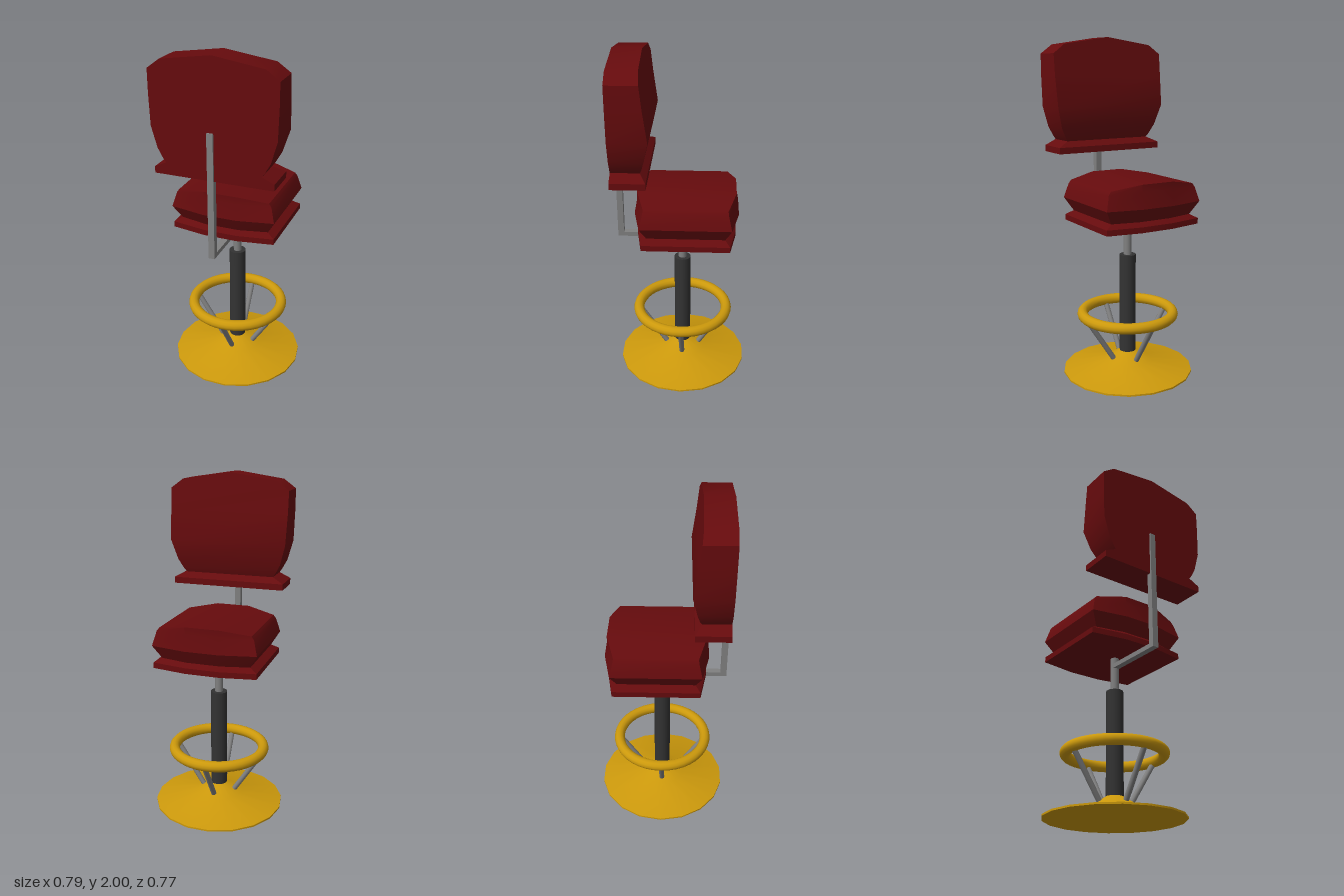
import * as THREE from 'three';
import { toCreasedNormals } from 'three/addons/utils/BufferGeometryUtils.js';

const mat = (color) => new THREE.MeshStandardMaterial({ color });

// Skin a stack of rings; each ring runs along +z (x rising), then back along -z
function loft(rings) {
  const n = rings[0].length, pos = [];
  const quad = (a, b, c, d) => pos.push(...a, ...b, ...c, ...a, ...c, ...d);
  for (let r = 0; r < rings.length - 1; r++) {
    const lo = rings[r], hi = rings[r + 1];
    for (let i = 0; i < n; i++) {
      const j = (i + 1) % n;
      quad(lo[i], lo[j], hi[j], hi[i]);
    }
  }
  const bottom = rings[0], top = rings[rings.length - 1];
  for (let i = 0; i < n / 2 - 1; i++) {
    quad(top[i], top[i + 1], top[n - 2 - i], top[n - 1 - i]);
    quad(bottom[n - 1 - i], bottom[n - 2 - i], bottom[i + 1], bottom[i]);
  }
  const geo = new THREE.BufferGeometry();
  geo.setAttribute('position', new THREE.Float32BufferAttribute(pos, 3));
  return toCreasedNormals(geo, 0.5);
}

export function createModel() {
  const group = new THREE.Group();
  const red = mat(0x660b0d), gold = mat(0xcc990c), dark = mat(0x333333), steel = mat(0x808080);
  const add = (name, geo, material, x = 0, y = 0, z = 0) => {
    const mesh = new THREE.Mesh(geo, material);
    mesh.name = name;
    mesh.position.set(x, y, z);
    group.add(mesh);
    return mesh;
  };

  // Flared 18-sided foot
  const turn = Math.PI / 18;
  const flare = [[0.393, 0.01], [0.14, 0.065], [0.045, 0.125], [0, 0.125]].map((p) => new THREE.Vector2(...p));
  add('baseFlare', new THREE.LatheGeometry(flare, 18, turn), gold);
  add('baseRim', new THREE.CylinderGeometry(0.393, 0.393, 0.01, 18, 1, false, turn), gold, 0, 0.005);

  // Column
  add('columnSleeve', new THREE.CylinderGeometry(0.049, 0.049, 0.63, 20), dark, 0, 0.415);
  add('columnStem', new THREE.CylinderGeometry(0.024, 0.024, 0.24, 16), steel, 0, 0.82);

  // Foot ring and its four slanted struts
  add('footRing', new THREE.TorusGeometry(0.274, 0.032, 12, 40).rotateX(Math.PI / 2), gold, 0, 0.361);
  for (let i = 0; i < 4; i++) {
    const a = (i * Math.PI) / 2;
    const at = (r, y) => new THREE.Vector3(r * Math.cos(a), y, r * Math.sin(a));
    const path = new THREE.LineCurve3(at(0.1, 0.085), at(0.268, 0.345));
    add('footRingStrut', new THREE.TubeGeometry(path, 1, 0.016, 10), steel);
  }

  // Bent bar carrying the backrest
  add('backBarArm', new THREE.BoxGeometry(0.036, 0.027, 0.385), steel, -0.003, 0.883, 0.1925);
  add('backBarUpright', new THREE.BoxGeometry(0.036, 0.73, 0.035), steel, -0.003, 1.235, 0.3675);

  // Seat cushion: [corner y, middle y, half width, corner half depth, middle half depth]
  const seat = [
    [0.935, 0.935, 0.305, 0.25, 0.285],
    [0.968, 0.968, 0.305, 0.25, 0.285],
    [0.992, 0.992, 0.262, 0.222, 0.258],
    [1.07, 1.07, 0.308, 0.258, 0.3],
    [1.155, 1.162, 0.285, 0.238, 0.283],
    [1.175, 1.205, 0.27, 0.235, 0.283],
  ].map(([yc, ym, w, dc, dm]) => [
    [-w, yc, dc], [-0.1, ym, dm], [0.1, ym, dm], [w, yc, dc],
    [w, yc, -dc], [0.1, ym, -dm], [-0.1, ym, -dm], [-w, yc, -dc],
  ]);
  add('seat', loft(seat), red, -0.004, 0, -0.028);

  // Backrest cushion: [y, half width, inner z], flat on the outside
  const back = [
    [1.333, 0.34, 0.18], [1.37, 0.34, 0.18], [1.402, 0.272, 0.215], [1.425, 0.288, 0.205],
    [1.48, 0.318, 0.19], [1.6, 0.352, 0.163], [1.78, 0.357, 0.187], [1.905, 0.357, 0.2],
    [1.958, 0.285, 0.207], [2, 0.005, 0.212],
  ].map(([y, w, z]) => [[-w, y, 0.375], [w, y, 0.375], [w, y, z], [-w, y, z]]);
  add('backrest', loft(back), red, 0.009);

  return group;
}
